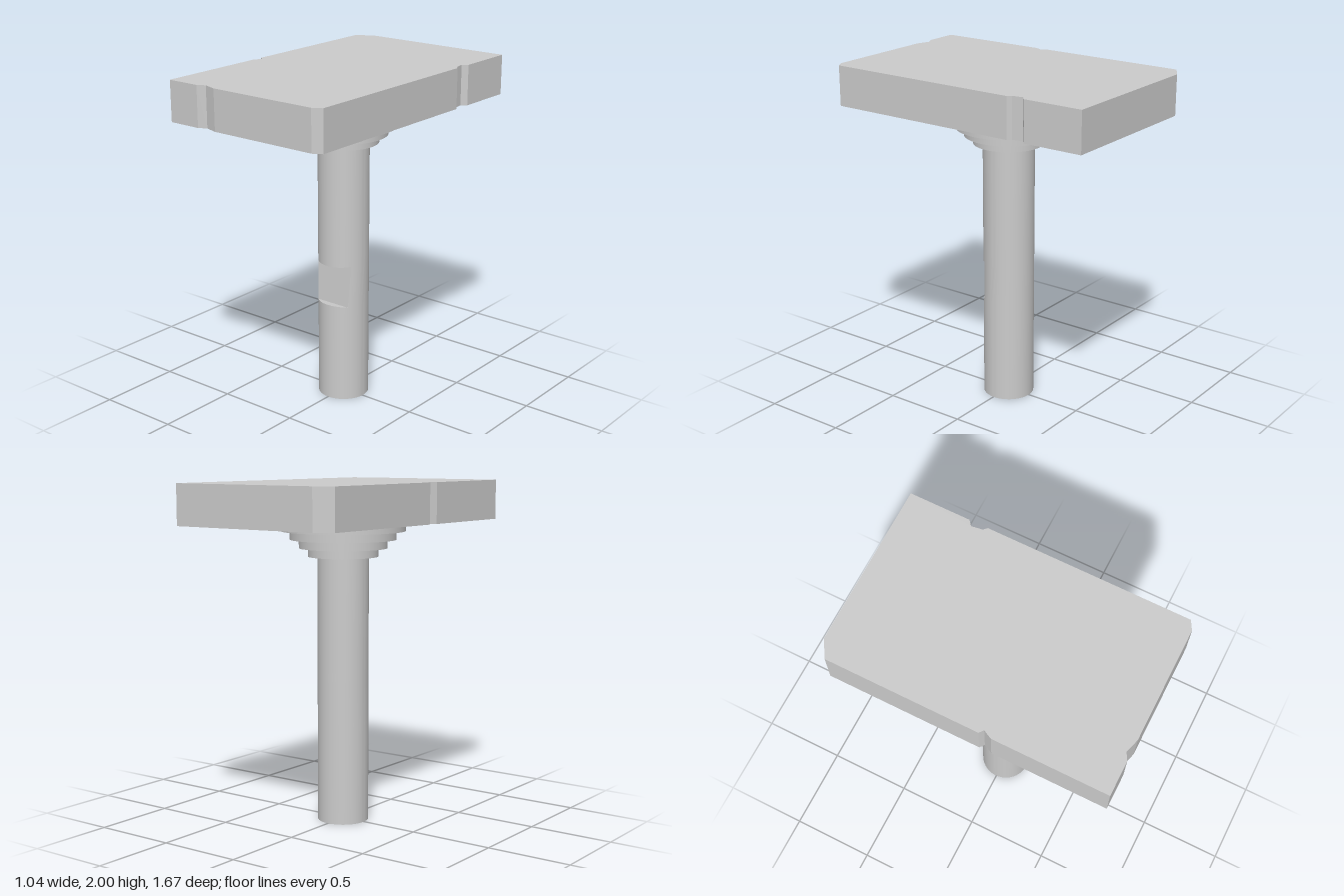
import * as THREE from 'three';
import { toCreasedNormals } from 'three/addons/utils/BufferGeometryUtils.js';

const material = new THREE.MeshStandardMaterial({ color: 0xcccccc });
const AXIS_Z = -0.005;
const RADIUS = 0.15;

function addMesh(group, name, geometry) {
  const mesh = new THREE.Mesh(geometry, material);
  mesh.name = name;
  group.add(mesh);
  return mesh;
}

// Chipped slab: outline as [x, z], extruded upward
function slabGeometry() {
  const outline = [
    [-0.525, -0.78], [-0.425, -0.84], [0.52, -0.84],
    [0.52, -0.485], [0.49, -0.46], [0.5, -0.395], [0.52, -0.375],
    [0.52, 0.805], [0.467, 0.835],
    [-0.2, 0.835], [-0.28, 0.81], [-0.325, 0.835],
    [-0.525, 0.835], [-0.525, 0.175], [-0.5, 0.125], [-0.525, 0.105],
  ];
  const shape = new THREE.Shape(outline.map(([x, z]) => new THREE.Vector2(x, -z)));
  return new THREE.ExtrudeGeometry(shape, { depth: 0.235, bevelEnabled: false })
    .rotateX(-Math.PI / 2)
    .translate(0, 1.765, 0);
}

// Ring whose front arc starts at the chord z = cut; "flat" presses that arc onto
// the chord, "lip" is the y change from the chord to the front of the ring
function ring(y, cut, flat = false, lip = 0) {
  const FRONT = 24, BACK = 48;
  const start = Math.asin(cut / RADIUS);
  const span = Math.PI - 2 * start;
  const points = [];
  for (let i = 0; i < FRONT + BACK; i++) {
    const front = i <= FRONT;
    const a = front
      ? start + span * i / FRONT
      : start + span + (2 * Math.PI - span) * (i - FRONT) / BACK;
    const z = RADIUS * Math.sin(a);
    const t = front ? (z - cut) / (RADIUS - cut) : 0;
    points.push(new THREE.Vector3(
      RADIUS * Math.cos(a), y + (flat ? 0 : lip * t), front && flat ? cut : z));
  }
  return points;
}

// Round shaft with a flat notch cut into its front
function shaftGeometry() {
  const low = 0.1, high = 0.085;
  const rings = [
    ring(0, low), ring(0.595, low, false, 0.006), ring(0.595, low, true),
    ring(0.85, high, true), ring(0.85, high, false, -0.005), ring(1.59, high),
  ];
  const positions = [];
  const triangle = (a, b, c) => {
    if (new THREE.Triangle(a, b, c).getArea() < 1e-9) return;
    for (const p of [a, b, c]) positions.push(p.x, p.y, p.z);
  };
  const n = rings[0].length;
  for (let k = 0; k < n; k++) {
    const next = (k + 1) % n;
    for (let r = 0; r < rings.length - 1; r++) {
      const lower = rings[r], upper = rings[r + 1];
      triangle(lower[k], upper[k], lower[next]);
      triangle(lower[next], upper[k], upper[next]);
    }
    // End caps
    triangle(new THREE.Vector3(0, 0, 0), rings[0][k], rings[0][next]);
    triangle(new THREE.Vector3(0, 1.59, 0), rings.at(-1)[next], rings.at(-1)[k]);
  }
  const geometry = new THREE.BufferGeometry();
  geometry.setAttribute('position', new THREE.Float32BufferAttribute(positions, 3));
  return toCreasedNormals(geometry, Math.PI / 6);
}

export function createModel() {
  const model = new THREE.Group();
  model.name = 'pedestalTable';

  addMesh(model, 'slab', slabGeometry());
  addMesh(model, 'shaft', shaftGeometry()).position.z = AXIS_Z;

  // Stepped collar under the slab, widening upward
  const collar = new THREE.Group();
  collar.name = 'collar';
  const radii = [0.205, 0.257, 0.31, 0.363];
  const levels = [1.568, 1.617, 1.667, 1.716, 1.765];
  radii.forEach((radius, i) => {
    const height = levels[i + 1] - levels[i];
    addMesh(collar, `collarStep${i + 1}`, new THREE.CylinderGeometry(radius, radius, height, 72))
      .position.set(0, levels[i] + height / 2, AXIS_Z);
  });
  model.add(collar);

  return model;
}
